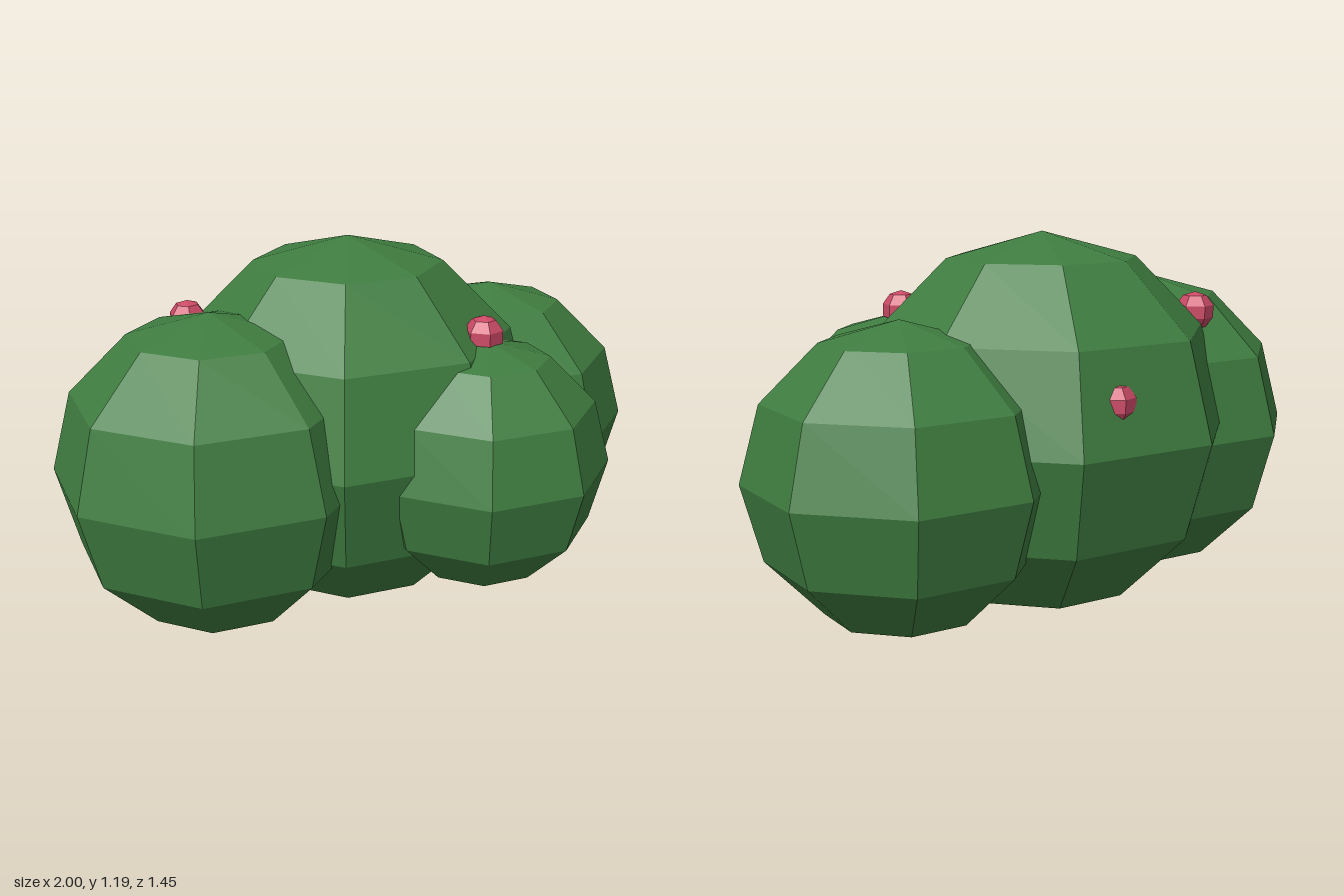
import * as THREE from 'three';

export function createModel() {
  const group = new THREE.Group();
  const leafGreen = new THREE.MeshStandardMaterial({ color: 0x3f7d40, flatShading: true });
  leafGreen.name = 'leafGreen';
  const berryPink = new THREE.MeshStandardMaterial({ color: 0xcc4a66, flatShading: true });
  berryPink.name = 'berryPink';

  // Low-poly ball at a position
  function ball(name, radius, segments, rings, material, x, y, z) {
    const mesh = new THREE.Mesh(new THREE.SphereGeometry(radius, segments, rings), material);
    mesh.name = name;
    mesh.position.set(x, y, z);
    group.add(mesh);
  }

  // Overlapping clumps of foliage: name, radius, centre
  const clumps = [
    ['mainFoliage', 0.596, 0, 0.596, -0.13],
    ['rightFoliage', 0.5, -0.5, 0.53, -0.2],
    ['leftFoliage', 0.463, 0.535, 0.503, 0],
    ['frontFoliage', 0.393, 0.137, 0.53, 0.33],
  ];
  for (const [name, r, x, y, z] of clumps) ball(name, r, 8, 6, leafGreen, x, y, z);

  // Berries resting on, or half sunk in, the foliage
  const berries = [
    ['frontBerry', 0.142, 0.932, 0.315],
    ['rightBerry', -0.385, 0.93, -0.46],
    ['backBerry', 0.25, 0.738, -0.545],
  ];
  for (const [name, x, y, z] of berries) ball(name, 0.0625, 6, 5, berryPink, x, y, z);

  return group;
}
